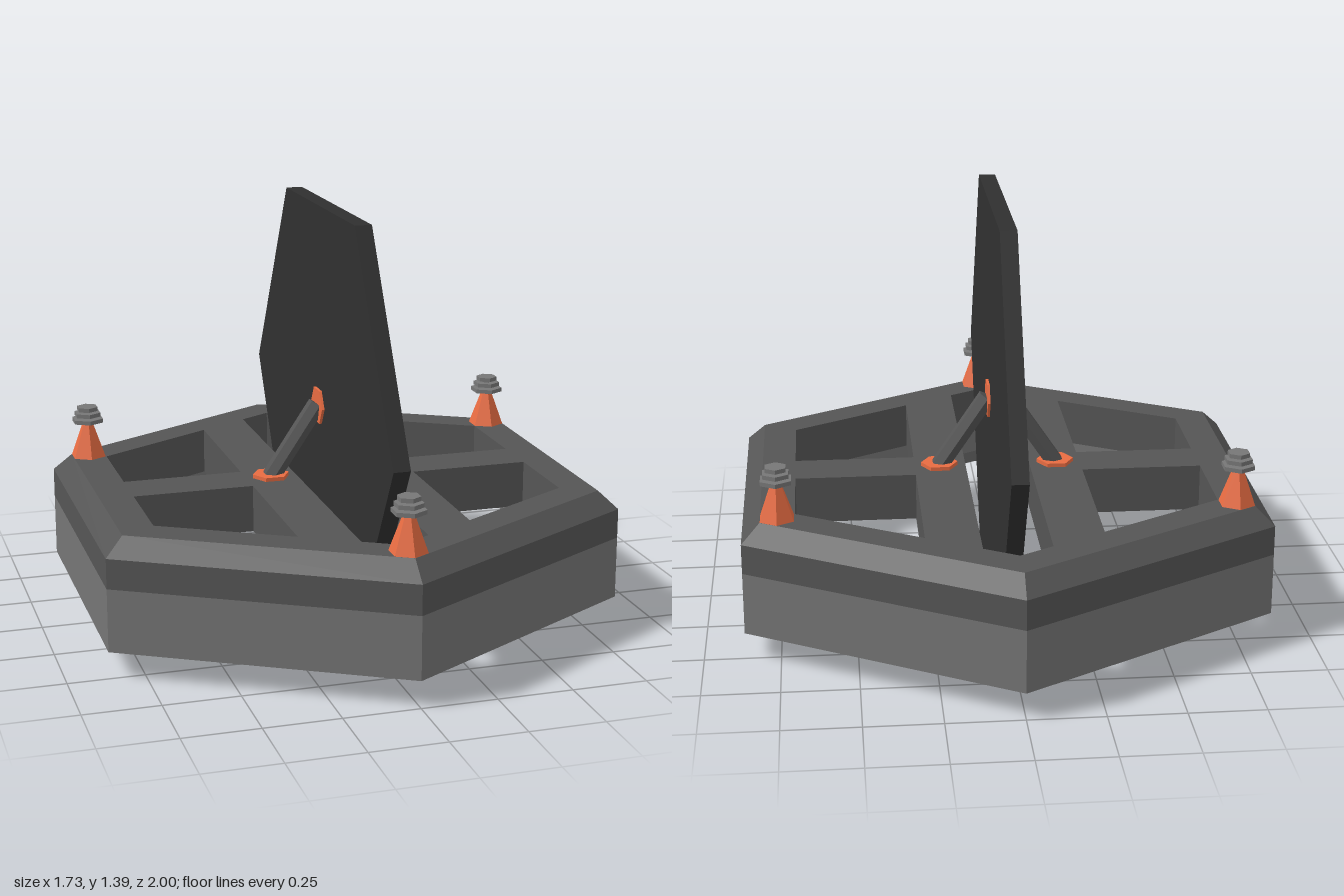
import * as THREE from 'three';

const paint = (color) => new THREE.MeshStandardMaterial({ color, flatShading: true });

export function createModel() {
  const model = new THREE.Group();
  const frameGrey = paint(0x555555), skirtGrey = paint(0x757575);
  const charcoal = paint(0x303030), orange = paint(0xe86c42), metal = paint(0x777777);

  const add = (name, geometry, material, parent = model) => {
    const mesh = new THREE.Mesh(geometry, material);
    mesh.name = name;
    parent.add(mesh);
    return mesh;
  };
  // Six-sided ring swept from a closed (radius, height) profile
  const hexRing = (profile) =>
    new THREE.LatheGeometry([...profile, profile[0]].map(([r, y]) => new THREE.Vector2(r, y)), 6);
  const hexPrism = (top, bottom, height) => new THREE.CylinderGeometry(top, bottom, height, 6);

  // Base: bevelled upper frame on a hollow skirt with a sloping underside
  add('baseFrame', hexRing([[0.8, 0.3], [1, 0.3], [1, 0.4], [0.93, 0.46], [0.8, 0.46]]), frameGrey);
  add('baseSkirt', hexRing([[1, 0.09], [1, 0.3], [0.83, 0.3], [0.83, 0.2], [0.86, 0.2]]), skirtGrey);

  // Beams: long pair with ends cut to the hexagon, and short cross beams
  const inner = 0.11, outer = 0.285;
  const reach = (x) => 0.8 - x / Math.sqrt(3);
  for (const side of [-1, 1]) {
    const shape = new THREE.Shape([
      [inner, -reach(inner)], [outer, -reach(outer)], [outer, reach(outer)], [inner, reach(inner)],
    ].map(([x, z]) => new THREE.Vector2(side * x, z)));
    const beam = new THREE.ExtrudeGeometry(shape, { depth: 0.16, bevelEnabled: false });
    add('longBeam', beam.rotateX(-Math.PI / 2).translate(0, 0.3, 0), frameGrey);
    add('crossBeam', new THREE.BoxGeometry(0.41, 0.16, 0.17), frameGrey)
      .position.set(side * 0.489, 0.38, 0);
  }

  // Upright hexagonal panel through the slot
  add('panel', hexPrism(0.8, 0.8, 0.056).rotateZ(Math.PI / 2), charcoal).position.y = 0.693;

  // Slanted braces with their mounting plates
  for (const side of [-1, 1]) {
    const brace = new THREE.Group();
    brace.name = 'brace';
    model.add(brace);
    const foot = new THREE.Vector3(side * 0.2, 0.46, 0);
    const head = new THREE.Vector3(side * 0.035, 0.705, 0);
    const direction = head.clone().sub(foot);
    const strut = add('strut', hexPrism(0.032, 0.032, direction.length()), frameGrey, brace);
    strut.position.copy(foot).add(head).multiplyScalar(0.5);
    strut.quaternion.setFromUnitVectors(new THREE.Vector3(0, 1, 0), direction.normalize());
    add('footPlate', hexPrism(0.063, 0.063, 0.014).rotateY(Math.PI / 2), orange, brace)
      .position.set(side * 0.2, 0.466, 0);
    add('panelPlate', hexPrism(0.066, 0.066, 0.01).rotateZ(Math.PI / 2), orange, brace)
      .position.set(side * 0.032, 0.7, 0);
  }

  // Three posts on alternate corners: tapered foot, stem and stacked discs
  for (let i = 0; i < 3; i++) {
    const angle = (i * Math.PI * 2) / 3;
    const post = new THREE.Group();
    post.name = 'cornerPost';
    post.position.set(Math.sin(angle) * 0.866, 0.46, Math.cos(angle) * 0.866);
    model.add(post);
    add('postCone', hexPrism(0.015, 0.063, 0.13), orange, post).position.y = 0.065;
    add('postStem', hexPrism(0.018, 0.018, 0.07), metal, post).position.y = 0.14;
    for (const [radius, y] of [[0.057, 0.131], [0.048, 0.152], [0.038, 0.172]])
      add('postDisc', hexPrism(radius, radius, 0.014), metal, post).position.y = y;
  }
  return model;
}
